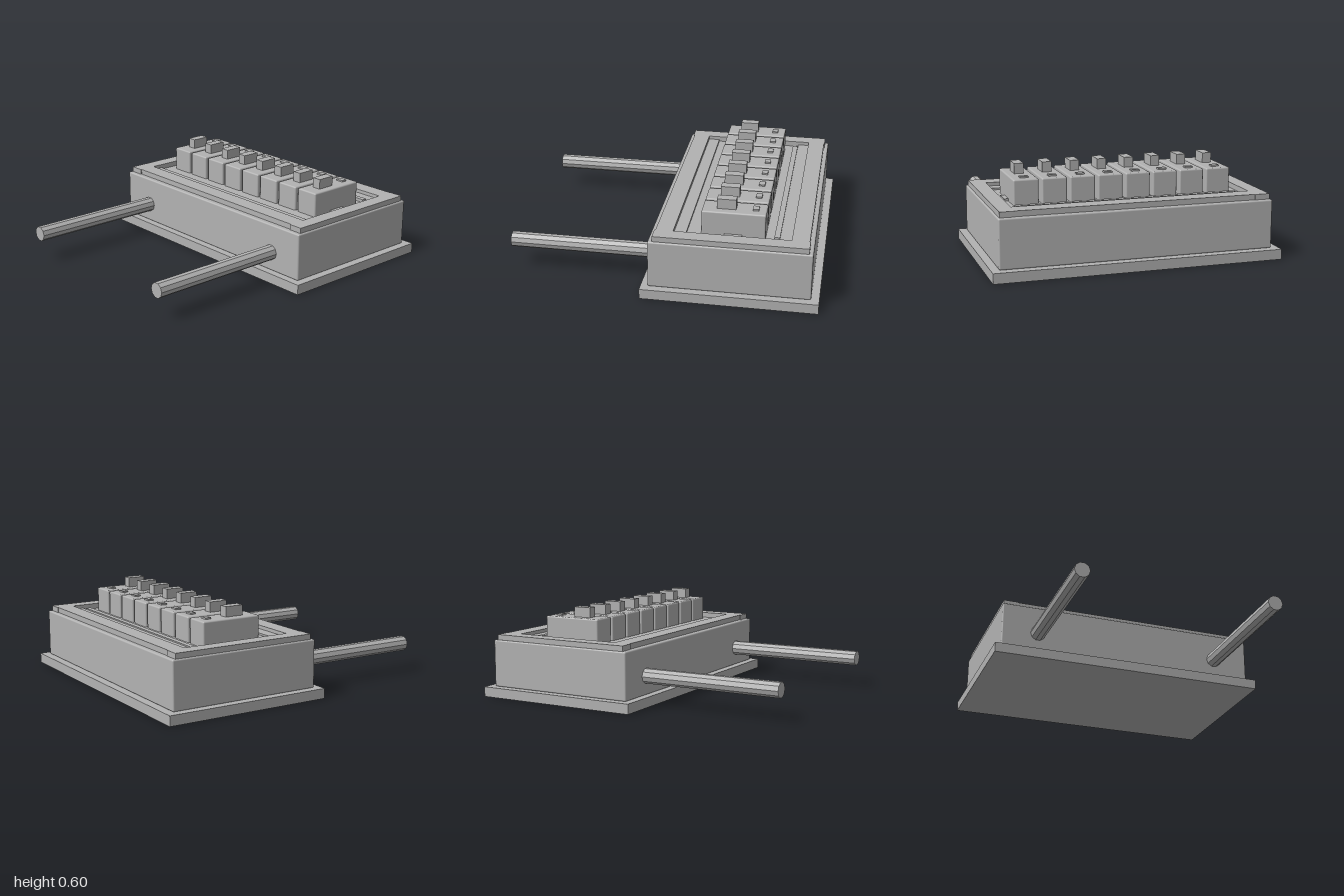
import * as THREE from 'three';
import { RoundedBoxGeometry } from 'three/addons/geometries/RoundedBoxGeometry.js';

export function createModel() {
  const model = new THREE.Group();
  model.name = 'switchBox';
  const grey = new THREE.MeshStandardMaterial({ color: 0xb2b2b2 });
  grey.name = 'plain grey';

  // Box from its limits on each axis; a bevel radius rounds its edges
  function block(name, [x0, x1], [y0, y1], [z0, z1], bevel = 0, parent = model) {
    const w = x1 - x0, h = y1 - y0, d = z1 - z0;
    const geometry = bevel
      ? new RoundedBoxGeometry(w, h, d, 2, bevel)
      : new THREE.BoxGeometry(w, h, d);
    const mesh = new THREE.Mesh(geometry, grey);
    mesh.name = name;
    mesh.position.set((x0 + x1) / 2, (y0 + y1) / 2, (z0 + z1) / 2);
    parent.add(mesh);
    return mesh;
  }

  // Base plate and housing
  block('basePlate', [-0.92, 0.92], [0, 0.065], [-1, 0.11]);
  block('housing', [-0.872, 0.872], [0.065, 0.375], [-0.95, 0.065], 0.01);

  // Raised frame around the top
  const frameY = [0.37, 0.41];
  block('frameFront', [-0.765, 0.765], frameY, [-0.08, 0.03]);
  block('frameBack', [-0.765, 0.765], frameY, [-0.92, -0.81]);
  block('frameRight', [-0.86, -0.765], frameY, [-0.925, 0.037]);
  block('frameLeft', [0.765, 0.86], frameY, [-0.925, 0.037]);

  // Low ledges, strip and pivot bar in the recess
  block('frontLedge', [-0.765, 0.765], [0.37, 0.387], [-0.155, -0.08]);
  block('backLedge', [-0.765, 0.765], [0.37, 0.387], [-0.81, -0.735]);
  block('labelStrip', [-0.717, 0.717], [0.37, 0.395], [-0.735, -0.7]);
  block('pivotBar', [-0.737, 0.737], [0.37, 0.39], [-0.5, -0.39]);

  // Row of eight switches, each with a toggle and an indicator
  for (let i = 0; i < 8; i++) {
    const unit = new THREE.Group();
    unit.name = 'switch' + (i + 1);
    unit.position.x = (i - 3.5) * 0.18;
    block('switchBody', [-0.08, 0.08], [0.365, 0.535], [-0.645, -0.245], 0.01, unit);
    block('toggle', [-0.03, 0.03], [0.52, 0.6], [-0.455, -0.335], 0, unit);
    block('indicator', [-0.026, 0.026], [0.53, 0.545], [-0.595, -0.557], 0, unit);
    model.add(unit);
  }

  // Two ten-sided cables leaving the front
  const rod = new THREE.CylinderGeometry(0.05, 0.05, 0.96, 10, 1, false, Math.PI / 2)
    .rotateX(Math.PI / 2).toNonIndexed();
  rod.computeVertexNormals();
  for (const side of [-1, 1]) {
    const cable = new THREE.Mesh(rod, grey);
    cable.name = side > 0 ? 'leftCable' : 'rightCable';
    cable.position.set(side * 0.628, 0.19, 0.52);
    model.add(cable);
  }
  return model;
}
